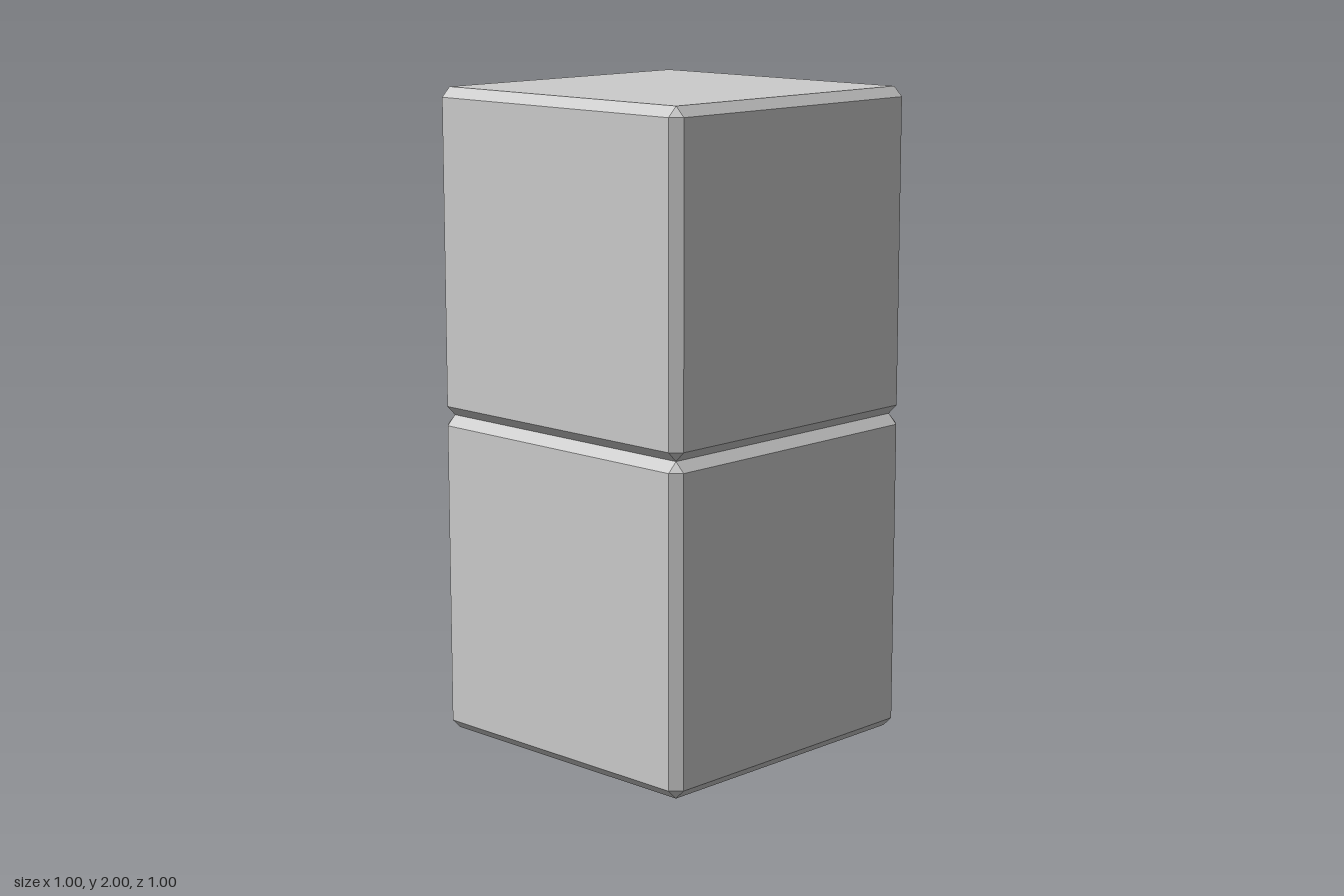
import * as THREE from 'three';
import { ConvexGeometry } from 'three/addons/geometries/ConvexGeometry.js';

// Cube with flat bevelled edges and small triangular corners
function chamferedCube(size, bevel) {
  const outer = size / 2;
  const inner = outer - bevel;
  const points = [];
  for (const x of [-1, 1]) for (const y of [-1, 1]) for (const z of [-1, 1]) {
    points.push(
      new THREE.Vector3(x * outer, y * inner, z * inner),
      new THREE.Vector3(x * inner, y * outer, z * inner),
      new THREE.Vector3(x * inner, y * inner, z * outer)
    );
  }
  return new ConvexGeometry(points);
}

export function createModel() {
  const model = new THREE.Group();
  model.name = 'stackedBlocks';
  const material = new THREE.MeshStandardMaterial({ color: 0xcccccc, flatShading: true });
  const geometry = chamferedCube(1, 0.03);

  // Two identical blocks, one on top of the other
  ['lowerBlock', 'upperBlock'].forEach((name, i) => {
    const block = new THREE.Mesh(geometry, material);
    block.name = name;
    block.position.y = 0.5 + i;
    model.add(block);
  });
  return model;
}
